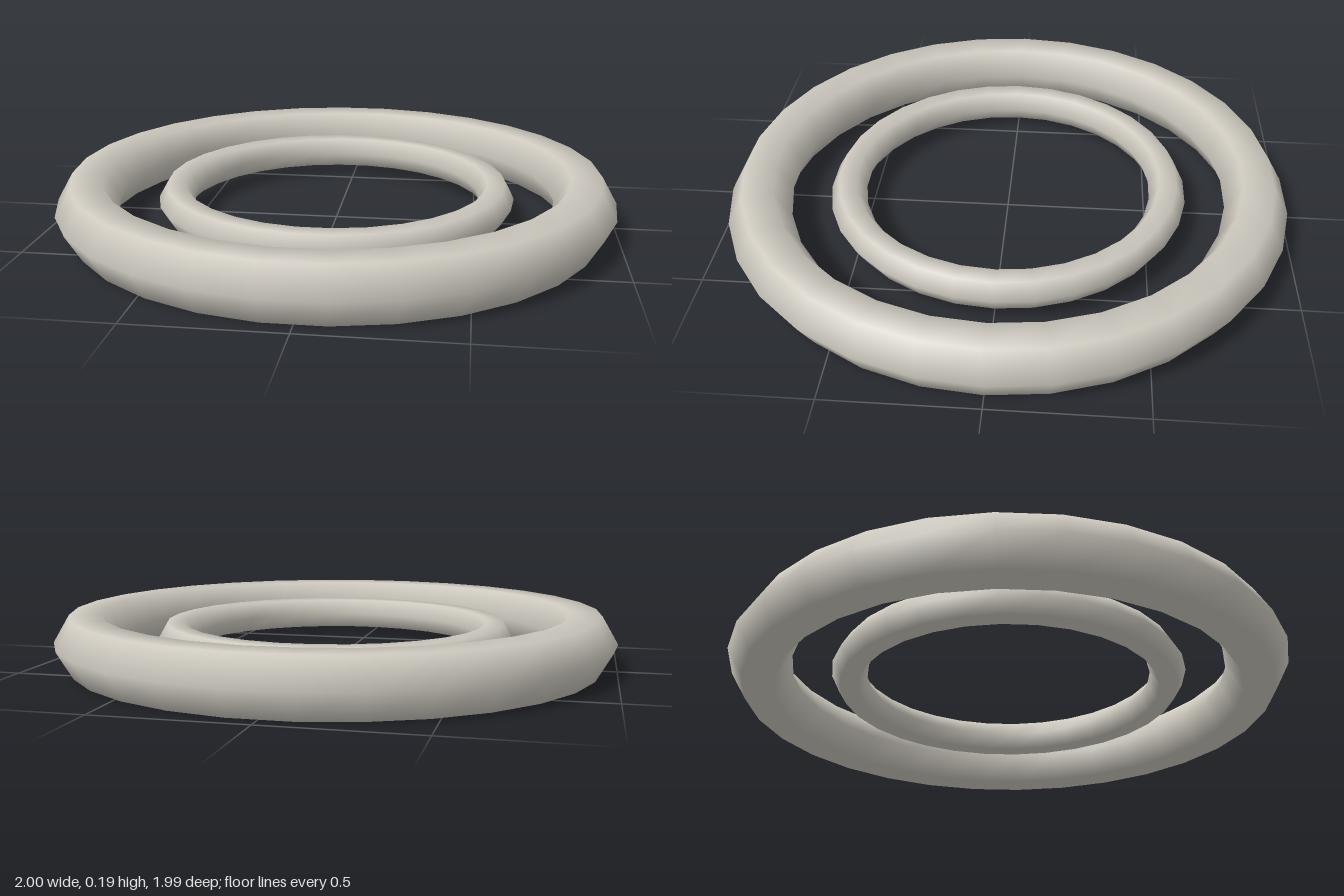
import * as THREE from 'three';

export function createModel() {
  const group = new THREE.Group();
  group.name = 'concentricRings';
  const stone = new THREE.MeshStandardMaterial({ color: 0xcdc9bf });
  stone.name = 'warm grey';

  const outerTube = 0.11;
  const centreHeight = outerTube * Math.sin(Math.PI / 3);

  // Smooth-shaded ring with a six-sided tube, lying flat
  function addRing(name, radius, tube) {
    const geometry = new THREE.TorusGeometry(radius, tube, 6, 30);
    geometry.rotateX(-Math.PI / 2);
    const ring = new THREE.Mesh(geometry, stone);
    ring.name = name;
    ring.position.y = centreHeight;
    group.add(ring);
  }

  addRing('outerRing', 0.89, outerTube);
  addRing('innerRing', 0.577, 0.064);

  return group;
}
